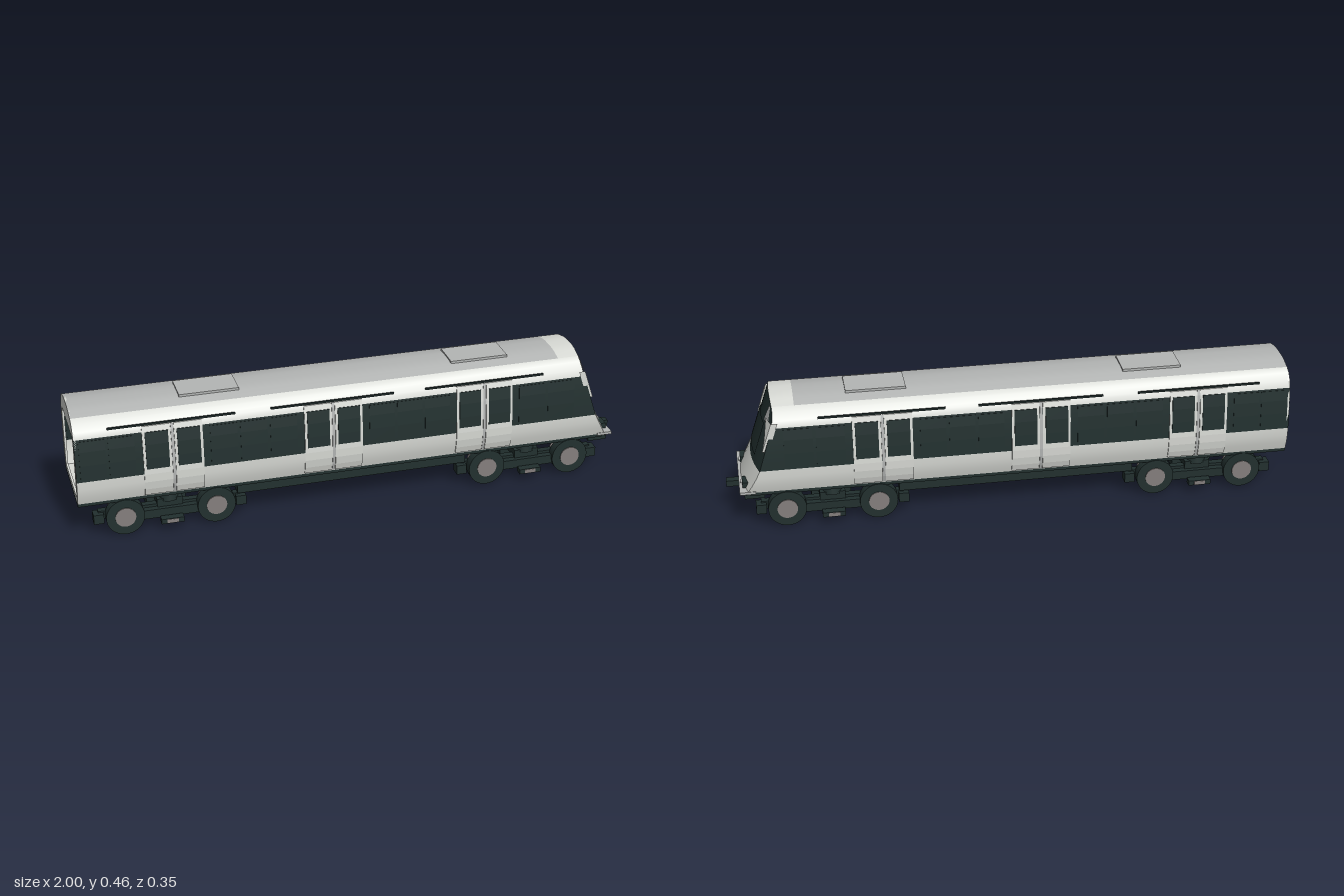
import * as THREE from 'three';

const mat = (name, color, side = THREE.FrontSide) => {
  const m = new THREE.MeshStandardMaterial({ color, side });
  m.name = name;
  return m;
};

// Half cross-section of the car body as [z, y], sill to roof ridge
const PROFILE = [[0.148, 0.14], [0.157, 0.17], [0.162, 0.2], [0.163, 0.23], [0.16, 0.29], [0.156, 0.34],
  [0.15, 0.385], [0.143, 0.408], [0.122, 0.432], [0.1, 0.443], [0.06, 0.453], [0.03, 0.457], [0, 0.457]];

// Piecewise-linear lookup in a list of [key, value]
function lookup(list, k) {
  for (let i = 1; i < list.length; i++) {
    const [k0, v0] = list[i - 1], [k1, v1] = list[i];
    if (k <= k1) return v0 + (v1 - v0) * Math.max(0, (k - k0) / (k1 - k0));
  }
  return list[list.length - 1][1];
}
const widthAt = (y) => lookup(PROFILE.slice(0, 12).map(([z, h]) => [h, z]), y);
// Sloping, slightly bowed cab front
const frontX = (y, z) => lookup([[0.14, 0.95], [0.228, 0.908], [0.457, 0.832]], y) - 0.025 * (z / 0.163) ** 2;

// Part of the half profile between two heights
function section(a, b) {
  const mid = PROFILE.filter(([, y]) => y > a + 1e-4 && y < b - 1e-4);
  const end = b >= 0.457 ? [[0.03, 0.457], [0, 0.457]] : [[widthAt(b), b]];
  return [[widthAt(a), a], ...mid, ...end];
}

// Surface through rows of points
function loft(rows) {
  const n = rows[0].length, pos = [], idx = [];
  rows.forEach((r) => r.forEach((p) => pos.push(...p)));
  for (let i = 0; i + 1 < rows.length; i++) for (let j = 0; j + 1 < n; j++) {
    const a = i * n + j;
    idx.push(a, a + 1, a + n, a + 1, a + n + 1, a + n);
  }
  const g = new THREE.BufferGeometry();
  g.setAttribute('position', new THREE.Float32BufferAttribute(pos, 3));
  g.setIndex(idx);
  g.computeVertexNormals();
  return g;
}

export function createModel() {
  const car = new THREE.Group();
  car.name = 'metroCar';
  const white = mat('bodyLightGrey', 0xd9dbd6, THREE.DoubleSide);
  const dark = mat('darkGreenBlack', 0x22302f, THREE.DoubleSide);
  const roofGrey = mat('roofGrey', 0xb4b6b5, THREE.DoubleSide);
  const steel = mat('steel', 0x857f7e);

  const add = (name, geo, material, parent = car) => {
    const m = new THREE.Mesh(geo, material);
    m.name = name;
    parent.add(m);
    return m;
  };
  const box = (name, x0, x1, y0, y1, z0, z1, material, parent) => {
    const m = add(name, new THREE.BoxGeometry(x1 - x0, y1 - y0, Math.abs(z1 - z0)), material, parent);
    m.position.set((x0 + x1) / 2, (y0 + y1) / 2, (z0 + z1) / 2);
    return m;
  };
  const drum = (name, r, x, y, z0, z1, material, parent, sides = 28) => {
    const g = new THREE.CylinderGeometry(r, r, Math.abs(z1 - z0), sides).rotateX(Math.PI / 2);
    add(name, g, material, parent).position.set(x, y, (z0 + z1) / 2);
  };
  // Body skin strip; x1 null runs to the cab front
  const skin = (name, s, x0, x1, a, b, material) => {
    const pts = section(a, b);
    add(name, loft([
      pts.map(([z, y]) => [x0, y, s * z]),
      pts.map(([z, y]) => [x1 ?? frontX(y, z), y, s * z]),
    ].map((r) => (s > 0 ? r.reverse() : r))), material);
  };
  // Curved plate lying on the body side
  const plate = (name, s, x0, x1, a, b, out, material) => {
    const pts = section(a, b);
    const ring = [...pts.map(([z, y]) => [z + out, y]), ...pts.map(([z, y]) => [z - 0.001, y]).reverse()];
    const shape = new THREE.Shape(ring.map(([z, y]) => new THREE.Vector2(-s * z, y)));
    const g = new THREE.ExtrudeGeometry(shape, { depth: x1 - x0, bevelEnabled: false }).rotateY(Math.PI / 2);
    add(name, g, material).position.x = x0;
  };
  // Patch on the cab front between two z limits per height
  const patch = (name, heights, z0, z1, out, material) => {
    add(name, loft(heights.map((y) => {
      const row = [];
      for (let i = 0; i <= 10; i++) {
        const z = z0(y) + (z1(y) - z0(y)) * i / 10;
        row.push([frontX(y, z) + out, y, z]);
      }
      return row.reverse();
    })), material);
  };

  for (const s of [1, -1]) {
    // Body shell
    skin('lowerSide', s, -1, null, 0.14, 0.23, white);
    skin('windowBand', s, -1, null, 0.23, 0.385, dark);
    skin('upperSide', s, -1, null, 0.385, 0.443, white);
    skin('roof', s, -1, 0.75, 0.443, 0.457, roofGrey);
    skin('roofFront', s, 0.75, null, 0.443, 0.457, white);

    // Paired sliding doors with windows, centre posts and top rails
    for (const x of [-0.665, -0.1, 0.455]) {
      for (const d of [-1, 1]) {
        const c = x + d * 0.055;
        plate('doorLeaf', s, c - 0.049, c + 0.049, 0.145, 0.405, 0.004, white);
        plate('doorWindow', s, c - 0.04, c + 0.04, 0.25, 0.385, 0.006, dark);
      }
      plate('doorSeal', s, x - 0.005, x + 0.005, 0.145, 0.405, 0.003, roofGrey);
      box('doorRail', x - 0.22, x + 0.22, 0.41, 0.416, s * 0.146, s * 0.153, dark);
    }
    // Window panes between the doors
    for (const [a, b, n] of [[-0.99, -0.79, 2], [-0.54, -0.225, 3], [0.025, 0.33, 3], [0.58, 0.8, 2]]) {
      const w = (b - a) / n;
      for (let i = 0; i < n; i++)
        plate('sideWindow', s, a + i * w + 0.005, a + (i + 1) * w - 0.005, 0.24, 0.378, 0.0015, dark);
    }

    // Cab corner pillars and fins
    patch('cabPillar', [0.385, 0.405, 0.425, 0.443],
      (y) => s * lookup([[0.385, 0.07], [0.443, 0.085]], y),
      (y) => s * lookup([[0.385, 0.125], [0.443, 0.1]], y), 0.003, roofGrey);
    patch('cabFin', [0.3, 0.32, 0.34, 0.36, 0.385, 0.406],
      (y) => s * lookup([[0.3, 0.154], [0.34, 0.141], [0.36, 0.13], [0.385, 0.112], [0.406, 0.1]], y),
      () => s * 0.155, 0.008, white);
    // Fin edge joining the body side
    add('finReturn', loft([0.3, 0.35, 0.406].map((y) => [
      [frontX(y, 0.155) - 0.015, y, s * 0.155], [frontX(y, 0.155) + 0.008, y, s * 0.155]])), white);

    // Headlights
    box('headlightHousing', 0.9, 0.945, 0.142, 0.166, s * 0.07, s * 0.119, dark);
    const lamp = add('headlight', new THREE.CylinderGeometry(0.007, 0.007, 0.006, 16).rotateZ(Math.PI / 2), roofGrey);
    lamp.position.set(0.947, 0.154, s * 0.082);
  }

  // Cab front
  const w = (y) => widthAt(y);
  patch('cabLowerFront', [0.14, 0.17, 0.2, 0.228], (y) => -w(y), w, 0, white);
  patch('cabDarkFront', [0.228, 0.26, 0.29, 0.34, 0.385, 0.408, 0.432, 0.443, 0.453, 0.457], (y) => -w(y), w, 0, dark);
  patch('windscreen', [0.255, 0.3, 0.34, 0.375], () => -0.085, () => 0.085, 0.003, dark);
  box('frontStep', 0.9, 0.956, 0.136, 0.146, -0.152, 0.152, roofGrey);
  box('frontBeam', 0.87, 0.94, 0.112, 0.128, -0.139, 0.139, dark);
  box('couplerBar', 0.86, 0.96, 0.102, 0.114, -0.009, 0.009, dark);
  box('couplerHead', 0.945, 1, 0.097, 0.119, -0.014, 0.014, dark);

  // Open rear frame
  const half = PROFILE.map(([z, y]) => new THREE.Vector2(z, y));
  const rear = new THREE.Shape([...half, ...PROFILE.slice(0, -1).reverse().map(([z, y]) => new THREE.Vector2(-z, y))]);
  rear.holes.push(new THREE.Path([[-0.13, 0.155], [-0.132, 0.36], [-0.115, 0.385], [0.115, 0.385], [0.132, 0.36],
    [0.13, 0.155]].map(([z, y]) => new THREE.Vector2(z, y))));
  add('rearFrame', new THREE.ExtrudeGeometry(rear, { depth: 0.008, bevelEnabled: false }).rotateY(Math.PI / 2), white)
    .position.x = -1;

  // Floor, underfloor equipment and roof hatches
  box('underframe', -1, 0.92, 0.128, 0.14, -0.147, 0.147, dark);
  box('cabinFloor', -0.99, 0.9, 0.14, 0.144, -0.145, 0.145, white);
  box('equipmentCase', -0.44, 0.4, 0.086, 0.13, -0.125, 0.125, dark);
  box('equipmentTray', -0.02, 0.3, 0.075, 0.087, -0.08, 0.08, dark);
  for (const x of [-0.515, 0.465]) box('roofHatch', x - 0.105, x + 0.105, 0.45, 0.462, -0.058, 0.058, roofGrey);

  // Bogies with rubber tyres, steel wheels and axles
  for (const cx of [-0.68, 0.635]) {
    const bogie = new THREE.Group();
    bogie.name = 'bogie';
    bogie.position.x = cx;
    car.add(bogie);
    box('bogieCentre', -0.07, 0.07, 0.036, 0.1, -0.045, 0.045, dark, bogie);
    box('bolster', -0.045, 0.045, 0.075, 0.105, -0.125, 0.125, dark, bogie);
    for (const s of [1, -1]) {
      box('sideBeam', -0.25, 0.25, 0.055, 0.085, s * 0.094, s * 0.118, dark, bogie);
      box('middleFrame', -0.1, 0.1, 0.042, 0.075, s * 0.118, s * 0.14, dark, bogie);
      const spring = add('airSpring', new THREE.CylinderGeometry(0.03, 0.035, 0.035, 20), dark, bogie);
      spring.position.set(0, 0.114, s * 0.1);
      box('currentShoe', -0.04, 0.04, 0.032, 0.05, s * 0.145, s * 0.173, dark, bogie);
      box('shoePlate', -0.02, 0.02, 0.034, 0.048, s * 0.172, s * 0.1745, steel, bogie);
      for (const d of [-1, 1]) {
        const x = d * 0.16;
        drum('tyre', 0.067, x, 0.067, s * 0.115, s * 0.15, dark, bogie, 36);
        drum('hub', 0.036, x, 0.067, s * 0.15, s * 0.153, steel, bogie);
        drum('steelWheel', 0.054, x, 0.064, s * 0.094, s * 0.106, steel, bogie);
        drum('wheelFlange', 0.059, x, 0.067, s * 0.091, s * 0.094, steel, bogie);
        box('beamEnd', d * 0.25 - 0.018, d * 0.25 + 0.018, 0.045, 0.08, s * 0.095, s * 0.135, dark, bogie);
      }
    }
    for (const d of [-1, 1]) drum('axle', 0.01, d * 0.16, 0.068, -0.115, 0.115, steel, bogie, 16);
  }
  return car;
}
